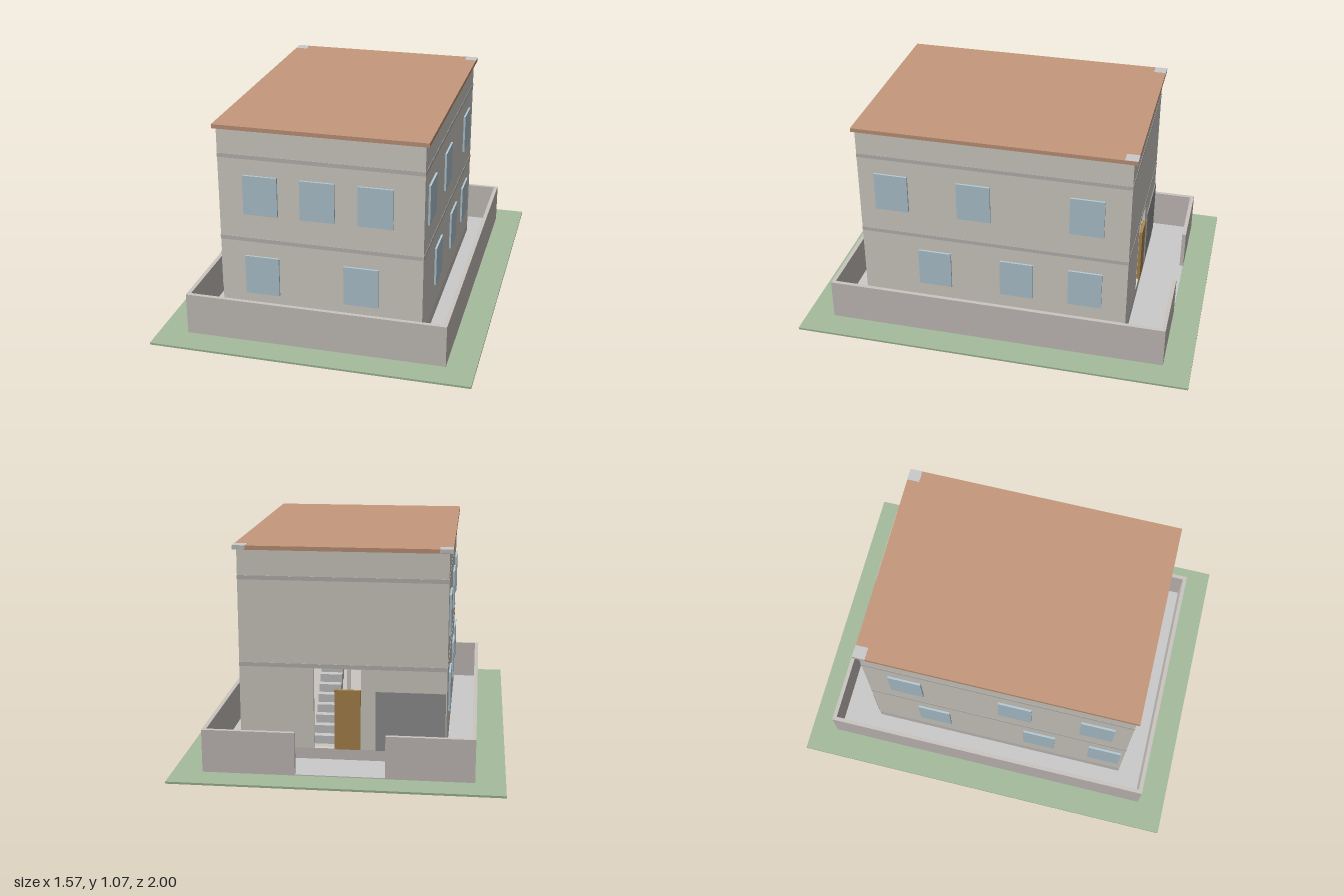
import * as THREE from 'three';

const mat = (color) => new THREE.MeshStandardMaterial({ color });

export function createModel() {
  const model = new THREE.Group();
  const M = {
    grey: mat(0xcccccc), wall: mat(0xd8d4cb), band: mat(0xbebcb8), fence: mat(0xccc6c1),
    grass: mat(0xa6bc9c), roof: mat(0xc6997d), glass: mat(0xb6ccd8),
    door: mat(0xb08a50), shutter: mat(0x969696),
  };

  // Box given by its extents on each axis
  const box = (name, material, [x0, x1], [y0, y1], [z0, z1], parent = model) => {
    const mesh = new THREE.Mesh(new THREE.BoxGeometry(x1 - x0, y1 - y0, z1 - z0), material);
    mesh.position.set((x0 + x1) / 2, (y0 + y1) / 2, (z0 + z1) / 2);
    mesh.name = name;
    parent.add(mesh);
    return mesh;
  };
  const group = (name) => {
    const g = new THREE.Group();
    g.name = name;
    model.add(g);
    return g;
  };

  // Plot and paving
  box('lawn', M.grass, [-0.785, 0.785], [0, 0.01], [-1, 1]);
  box('paving', M.grey, [-0.63, 0.63], [0.01, 0.015], [-0.859, 0.85]);

  // Boundary wall with an entrance gap at the back
  const fence = group('boundaryWall');
  const fy = [0.01, 0.22], t = 0.02;
  box('frontBoundary', M.fence, [-0.643, 0.643], fy, [0.86 - t, 0.86], fence);
  for (const s of [-1, 1]) {
    const xs = [s * 0.643, s * (0.643 - t)].sort((a, b) => a - b);
    box('sideBoundary', M.fence, xs, fy, [-0.86 + t, 0.86 - t], fence);
  }
  box('backBoundaryRight', M.fence, [-0.643, -0.225], fy, [-0.86, -0.86 + t], fence);
  box('backBoundaryLeft', M.fence, [0.2, 0.643], fy, [-0.86, -0.86 + t], fence);

  // House shell: plinth, three plain walls and a back wall with the entrance
  const X = 0.5, ZB = -0.645, ZF = 0.72, floorY = 0.07, topY = 1.045;
  const house = group('houseWalls');
  box('plinth', M.fence, [-X, X], [0.01, floorY], [ZB, ZF], house);
  box('frontWall', M.wall, [-X, X], [floorY, topY], [ZF - t, ZF], house);
  box('rightWall', M.wall, [-X, -X + t], [floorY, topY], [ZB + t, ZF - t], house);
  box('leftWall', M.wall, [X - t, X], [floorY, topY], [ZB + t, ZF - t], house);
  const rect = (S, x0, x1, y0, y1) =>
    new S([[x0, y0], [x1, y0], [x1, y1], [x0, y1]].map((p) => new THREE.Vector2(...p)));
  const backShape = rect(THREE.Shape, -X, X, floorY, topY);
  backShape.holes.push(rect(THREE.Path, -0.088, 0.14, floorY + 0.001, 0.475));
  const back = new THREE.Mesh(
    new THREE.ExtrudeGeometry(backShape, { depth: t, bevelEnabled: false }), M.wall);
  back.position.z = ZB;
  back.name = 'backWall';
  house.add(back);

  // Floor slabs, their edges showing as bands
  const e = 0.0015;
  for (const y of [0.475, 0.9]) {
    box('floorSlab', M.band, [-X - e, X + e], [y, y + 0.02], [ZB - e, ZF + e], house);
  }

  // Roof slab with grey column heads at the back corners
  box('roof', M.roof, [-0.517, 0.517], [topY, 1.065], [-0.664, 0.734]);
  for (const s of [-1, 1]) {
    box('columnHead', M.grey, [s * 0.486 - 0.031, s * 0.486 + 0.031],
      [1.046, 1.066], [-0.6645, -0.602]);
  }

  // Windows: centre along the wall and sill height
  const windows = group('windows');
  const w = 0.085, h = 0.2, out = 0.01, upper = 0.62, lower = 0.2;
  const frontRows = [[upper, [-0.292, -0.012, 0.27]], [lower, [-0.292, 0.2]]];
  for (const [y, xs] of frontRows) {
    for (const x of xs) {
      box('frontWindow', M.glass, [x - w, x + w], [y, y + h], [ZF - t, ZF + out], windows);
    }
  }
  const sideRows = [
    [1, upper, [0.55, 0.13, -0.435]], [1, lower, [0.34, -0.085, -0.435]],
    [-1, upper, [0.55, 0.13, -0.435]], [-1, lower, [0.615, 0.262, -0.31]],
  ];
  for (const [s, y, zs] of sideRows) {
    for (const z of zs) {
      const xs = s > 0 ? [X - t, X + out] : [-X - out, -X + t];
      box('sideWindow', M.glass, xs, [y, y + h], [z - w, z + w], windows);
    }
  }

  // Back entrance: garage shutter, door and post
  box('garageShutter', M.shutter, [-0.495, -0.16], [floorY, 0.367], [ZB - 0.006, ZB + 0.01]);
  box('door', M.door, [-0.088, 0.039], [floorY, 0.37], [ZB - 0.006, ZB + 0.01]);
  box('entrancePost', M.wall, [-0.035, -0.02], [floorY, 0.475], [ZB + 0.01, ZB + 0.025]);

  // Staircase inside the entrance
  const stairs = group('staircase');
  const steps = 10, rise = (0.475 - floorY) / steps, run = 0.04;
  for (let i = 0; i < steps; i++) {
    const y = floorY + i * rise, z = -0.58 + i * run;
    box('step', M.grey, [0.04, 0.15], [Math.max(floorY, y - rise), y + rise], [z, z + run], stairs);
  }
  return model;
}
